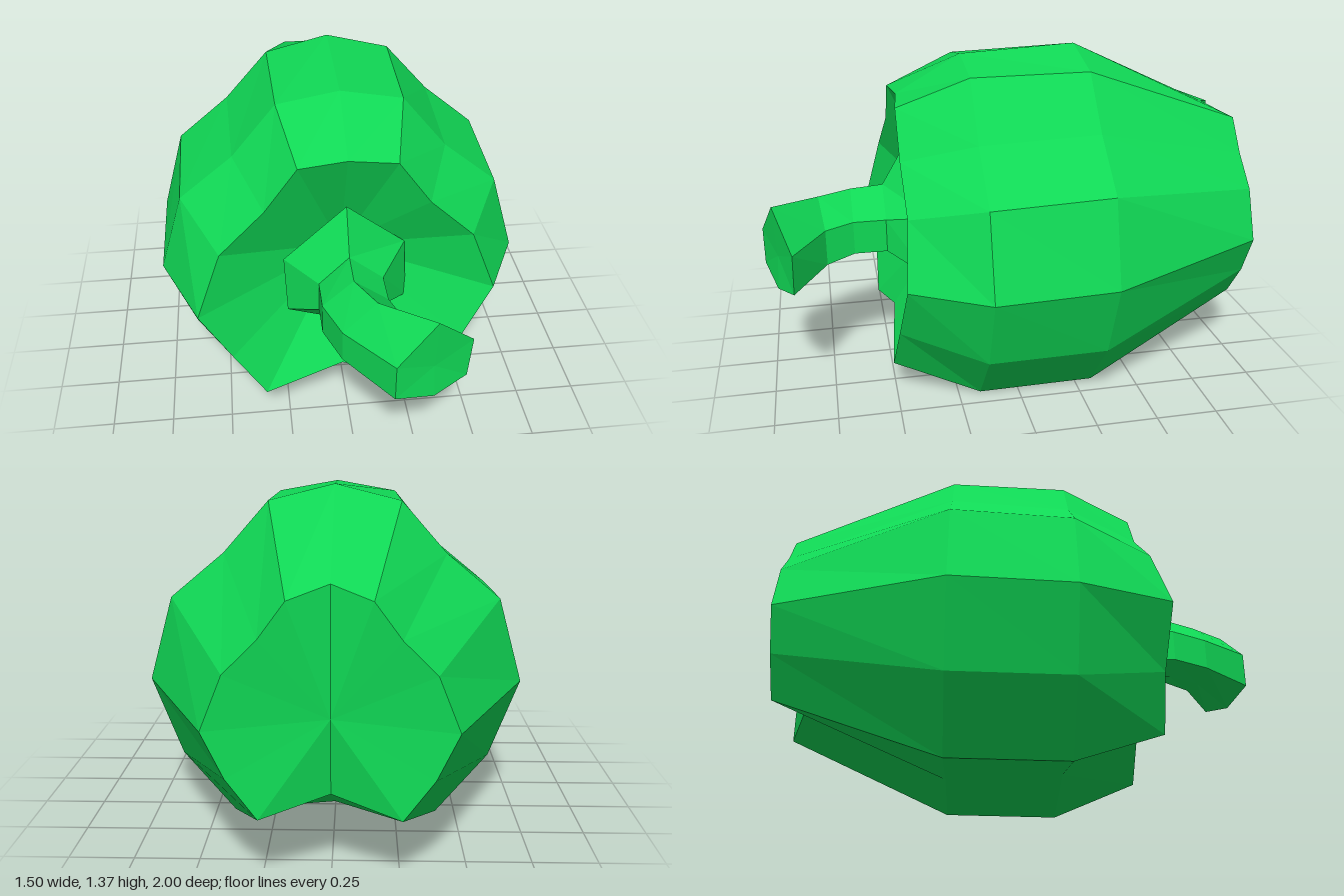
import * as THREE from 'three';

// Skin a list of rings (each a loop of [x, y, z], clockwise from the front, ordered back to front).
// A ring holding a single point closes the end.
function loft(rings, material, name) {
  const n = Math.max(...rings.map(r => r.length));
  const at = (r, i) => r[i % r.length];
  const pos = [];
  for (let k = 0; k < rings.length - 1; k++) {
    const a = rings[k], b = rings[k + 1];
    for (let i = 0; i < n; i++) {
      if (a.length > 1) pos.push(...at(a, i), ...at(b, i), ...at(a, i + 1));
      if (b.length > 1) pos.push(...at(a, i + 1), ...at(b, i), ...at(b, i + 1));
    }
  }
  const geo = new THREE.BufferGeometry();
  geo.setAttribute('position', new THREE.Float32BufferAttribute(pos, 3));
  geo.computeVertexNormals();
  const mesh = new THREE.Mesh(geo, material);
  mesh.name = name;
  return mesh;
}

// Complete a ring from its top, right-hand and bottom points; a 4th value is the mirrored point's z.
function mirrorRing(half) {
  const right = half.map(p => p.slice(0, 3));
  const left = half.slice(1, -1).reverse().map(([x, y, z, zl = z]) => [-x, y, zl]);
  return [...right, ...left];
}

export function createModel() {
  const group = new THREE.Group();
  group.name = 'bellPepper';
  const green = new THREE.MeshStandardMaterial({ color: 0x10d855, flatShading: true });

  // Lobed body lying on its side, dented at both ends
  const flat = (z, pts) => pts.map(([x, y]) => [x, y, z]);
  const body = [
    [[0, 0.63, -0.95]],
    mirrorRing([[0, 1.09, -0.91], [0.145, 1.05, -1], [0.24, 0.92, -1], [0.36, 0.8, -1],
      [0.44, 0.6, -1], [0.36, 0.43, -1], [0.25, 0.28, -1], [0, 0.34, -0.91]]),
    mirrorRing(flat(-0.32, [[0, 1.37], [0.26, 1.305], [0.44, 1.1], [0.655, 0.92],
      [0.75, 0.58], [0.63, 0.26], [0.42, 0.005], [0, 0.045]])),
    mirrorRing(flat(0.16, [[0, 1.345], [0.25, 1.3], [0.43, 1.08], [0.65, 0.9],
      [0.75, 0.565], [0.63, 0.255], [0.42, 0], [0, 0.075]])),
    mirrorRing([[0, 1.19, 0.43], [0.19, 1.18, 0.45], [0.32, 1, 0.45], [0.5, 0.83, 0.445, 0.475],
      [0.6, 0.575, 0.465, 0.53], [0.475, 0.34, 0.49, 0.51], [0.345, 0.135, 0.51, 0.52], [-0.02, 0.225, 0.47]]),
    [[0, 0.65, 0.2]],
  ];
  group.add(loft(body, green, 'body'));

  // Six-sided crown in the front dent, running out into a stem that bends to the left
  const crown = [[0, 0.97, 0.4], [0.25, 0.73, 0.32], [0.26, 0.47, 0.34],
    [-0.02, 0.41, 0.4], [-0.24, 0.48, 0.4], [-0.25, 0.73, 0.39]];
  const neck = [[0, 0.8, 0.5], [0.135, 0.69, 0.5], [0.135, 0.55, 0.5],
    [0, 0.52, 0.5], [-0.12, 0.55, 0.5], [-0.12, 0.68, 0.5]];
  const stem = [
    [[0, 0.65, 0.2]],
    crown,
    neck,
    neck.map(([x, y], i) => [x, i === 0 ? 0.79 : y, 0.635]),
    [[0.07, 0.79, 0.77], [0.18, 0.68, 0.75], [0.18, 0.53, 0.75],
      [0.07, 0.52, 0.77], [-0.06, 0.54, 0.785], [-0.06, 0.67, 0.785]],
    [[0.26, 0.83, 0.95], [0.41, 0.68, 0.88], [0.395, 0.51, 0.885],
      [0.26, 0.48, 0.95], [0.105, 0.53, 1], [0.105, 0.68, 1]],
    [[0.255, 0.62, 0.94]],
  ];
  group.add(loft(stem, green, 'stem'));

  return group;
}
